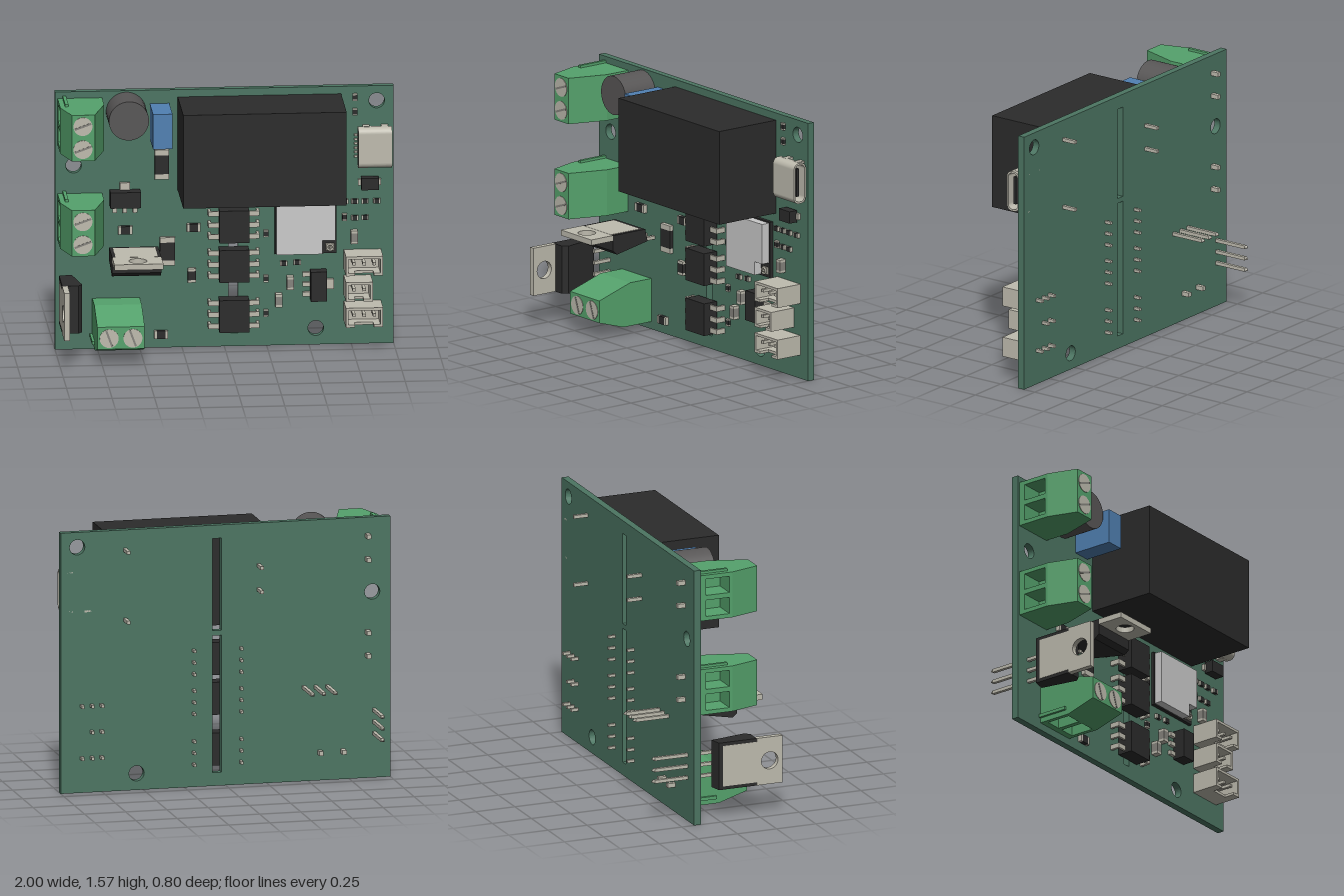
import * as THREE from 'three';

const mat = (name, color, extra = {}) => {
  const m = new THREE.MeshStandardMaterial({ color, ...extra });
  m.name = name;
  return m;
};

export function createModel() {
  const boardGreen = mat('board green', 0x4c7562);
  const green = mat('terminal green', 0x55a26c);
  const black = mat('plastic black', 0x2b2b2b);
  const metal = mat('tin metal', 0xbebbae);
  const shieldGrey = mat('shield silver', 0xcacaca);
  const blue = mat('capacitor blue', 0x5080b2);
  const darkGrey = mat('varistor grey', 0x585656);
  const midGrey = mat('ceramic grey', 0x85837d);
  const root = new THREE.Group();
  root.name = 'circuitBoard';
  const FRONT = -0.129, BACK = -0.172;

  const add = (parent, name, geo, m) => {
    const mesh = new THREE.Mesh(geo, m);
    mesh.name = name;
    parent.add(mesh);
    return mesh;
  };
  const group = (name, x = 0, y = 0, z = 0, turn = 0) => {
    const g = new THREE.Group();
    g.name = name;
    g.position.set(x, y, z);
    g.rotation.z = turn;
    root.add(g);
    return g;
  };
  // Box from its minimum and maximum on each axis
  const box = (parent, name, m, x0, x1, y0, y1, z0, z1) => {
    const b = add(parent, name, new THREE.BoxGeometry(x1 - x0, y1 - y0, z1 - z0), m);
    b.position.set((x0 + x1) / 2, (y0 + y1) / 2, (z0 + z1) / 2);
    return b;
  };
  const disc = (parent, name, m, x, y, r, z0, z1, sides = 32) => {
    const c = add(parent, name, new THREE.CylinderGeometry(r, r, z1 - z0, sides).rotateX(Math.PI / 2), m);
    c.position.set(x, y, (z0 + z1) / 2);
    return c;
  };
  const poly = pts => new THREE.Shape(pts.map(p => new THREE.Vector2(...p)));
  const rect = (x0, x1, y0, y1) => poly([[x0, y0], [x1, y0], [x1, y1], [x0, y1]]);
  const circle = (x, y, r) => new THREE.Path().absarc(x, y, r, 0, Math.PI * 2, true);
  const extrude = (shape, depth) =>
    new THREE.ExtrudeGeometry(shape, { depth, bevelEnabled: false, curveSegments: 16 });
  const pin = (parent, x, y, z0, z1, s = 0.02) =>
    box(parent, 'pin', metal, x - s / 2, x + s / 2, y - s / 2, y + s / 2, z0, z1);

  // Board with mounting holes and isolation slots
  const plate = rect(-1, 1, 0, 1.57);
  for (const [x, y] of [[0.9, 1.48], [-0.89, 1.12], [0.54, 0.1]]) plate.holes.push(circle(x, y, 0.046));
  plate.holes.push(rect(0.025, 0.08, 0.08, 0.905), rect(0.025, 0.08, 0.935, 1.49));
  add(root, 'board', extrude(plate, FRONT - BACK), boardGreen).position.z = BACK;

  // Relay and its solder pins
  const relay = group('relay');
  box(relay, 'relayCase', black, -0.275, 0.69, 0.957, 1.525, FRONT, 0.293);
  for (const [x, y] of [[0.61, 1.45], [0.61, 1.03], [-0.2, 1.315], [-0.2, 1.17]]) pin(relay, x, y, -0.262, FRONT);

  // Varistor and film capacitor
  disc(root, 'varistor', darkGrey, -0.58, 1.443, 0.118, FRONT, 0.092, 48);
  box(root, 'filmCapacitor', blue, -0.44, -0.325, 1.275, 1.488, FRONT, 0.12);

  // Screw terminal: local x runs away from the wire side, local y along the block
  function terminal(x, y, turn) {
    const g = group('screwTerminal', x, y, 0, turn);
    const top = [[0.055, 0.26], [0.19, 0.26], [0.263, 0.03], [0.263, FRONT]].reverse();
    const solid = [[0, FRONT], ...top, [0, 0.08]];
    const notched = [[0, FRONT], ...top, [0, 0.08], [0, 0.06], [0.14, 0.06], [0.14, -0.09], [0, -0.09]];
    let at = 0;
    [0.025, 0.1, 0.03, 0.1, 0.025].forEach((w, i) => {
      const geo = extrude(poly(i % 2 ? notched : solid), w).rotateX(Math.PI / 2);
      at += w;
      add(g, 'terminalBody', geo, green).position.y = at;
    });
    box(g, 'keyRidge', green, 0.03, 0.05, 0.28, 0.295, FRONT, 0.06);
    for (const sy of [0.07, 0.21]) {
      disc(g, 'screw', metal, 0.12, sy, 0.056, 0.25, 0.263);
      const slot = box(g, 'screwSlot', midGrey, 0.068, 0.172, sy - 0.006, sy + 0.006, 0.262, 0.265);
      slot.rotation.z = 0.35;
      pin(g, 0.125, sy, -0.222, FRONT, 0.026);
    }
  }
  terminal(-0.985, 1.25, 0);
  terminal(-0.985, 0.67, 0);
  terminal(-0.5, 0.045, Math.PI / 2);

  // Power transistor: local x across, y through the thickness, tab on +y
  function powerTransistor(x, y, turn) {
    const g = group('powerTransistor', x, y, 0, turn);
    const side = poly([[0.235, 0.06], [-0.005, 0.06], [-0.022, -0.015], [0.205, -0.06], [0.235, -0.035]].reverse());
    side.closePath();
    add(g, 'transistorBody', extrude(side, 0.29).rotateY(-Math.PI / 2), black).position.x = 0.145;
    const tab = rect(-0.145, 0.145, 0.235, 0.398);
    tab.holes.push(circle(0, 0.318, 0.053));
    add(g, 'coolingTab', extrude(tab, 0.034).rotateX(Math.PI / 2), metal).position.y = 0.061;
    box(g, 'backPlate', metal, -0.125, 0.125, 0.058, 0.062, 0.02, 0.235);
    for (const px of [-0.07, 0, 0.07]) {
      pin(g, px, -0.025, -0.385, -0.01);
      const tip = add(g, 'pinTip', new THREE.CylinderGeometry(0.014, 0.004, 0.015, 4).rotateY(Math.PI / 4).rotateX(Math.PI / 2), metal);
      tip.position.set(px, -0.025, -0.3925);
    }
  }
  powerTransistor(-0.545, 0.59, 0);
  powerTransistor(-0.925, 0.338, Math.PI / 2);

  // Optocouplers straddling the slot
  for (const cy of [0.753, 0.513, 0.208]) {
    const g = group('optocoupler', 0.052, cy);
    box(g, 'optoBody', black, -0.088, 0.088, -0.098, 0.098, -0.118, -0.022);
    for (const s of [-1, 1]) for (const dy of [-0.07, 0, 0.07]) {
      const x0 = s * 0.08, x1 = s * 0.15;
      box(g, 'leadShoulder', metal, Math.min(x0, x1), Math.max(x0, x1), dy - 0.015, dy + 0.015, -0.08, -0.066);
      box(g, 'leadLeg', metal, s * 0.143 - 0.008, s * 0.143 + 0.008, dy - 0.015, dy + 0.015, FRONT, -0.07);
      pin(g, s * 0.143, dy, -0.215, FRONT, 0.016);
    }
  }

  // Small regulators: local tab on +y, three leads on -y
  function regulator(x, y, turn) {
    const g = group('regulator', x, y, 0, turn);
    box(g, 'regulatorBody', black, -0.09, 0.09, -0.048, 0.048, -0.122, -0.045);
    box(g, 'regulatorTab', metal, -0.03, 0.03, 0.045, 0.092, FRONT, -0.108);
    for (const px of [-0.06, 0, 0.06])
      box(g, 'regulatorLead', metal, px - 0.013, px + 0.013, -0.092, -0.045, FRONT, -0.108);
  }
  regulator(-0.588, 0.922, 0);
  regulator(0.553, 0.372, -Math.PI / 2);

  // Two-ended surface parts: body with metal end caps on the longer axis
  function chip(x, y, w, h, d, m) {
    const g = group('surfacePart', x, y, FRONT);
    const wide = w > h, cap = Math.max(w, h) * 0.18;
    const bx = w / 2 - (wide ? cap : 0), by = h / 2 - (wide ? 0 : cap);
    box(g, 'partBody', m, -bx, bx, -by, by, 0, d);
    for (const s of [-1, 1]) {
      const e = box(g, 'partEnd', metal, 0, wide ? cap : w, 0, wide ? h : cap, 0, d);
      e.position.x = wide ? s * (w - cap) / 2 : 0;
      e.position.y = wide ? 0 : s * (h - cap) / 2;
    }
  }
  const big = [[-0.37, 1.12, 0.085, 0.18], [-0.337, 0.59, 0.09, 0.17], [-0.585, 0.723, 0.085, 0.048],
    [-0.182, 0.73, 0.08, 0.048], [-0.193, 0.44, 0.048, 0.085], [-0.375, 0.083, 0.08, 0.048]];
  for (const [x, y, w, h] of big) chip(x, y, w, h, 0.025, black);
  const upright = [[0.77, 1.505], [0.77, 1.415], [0.245, 0.685], [0.245, 0.41], [0.245, 0.2], [0.71, 0.775]];
  for (const [x, y] of upright) chip(x, y, 0.028, 0.042, 0.018, black);
  const flat = [[0.71, 0.87], [0.77, 0.87], [0.83, 0.87], [0.9, 0.87], [0.77, 0.77], [0.83, 0.77], [0.43, 0.505], [0.35, 0.5]];
  for (const [x, y] of flat) chip(x, y, 0.042, 0.028, 0.018, black);
  for (const [x, y] of [[0.765, 0.657], [0.387, 0.385], [0.32, 0.28]]) chip(x, y, 0.04, 0.08, 0.042, midGrey);

  // Diode
  const diode = group('diode', 0.857, 0.987);
  box(diode, 'diodeBody', black, -0.052, 0.052, -0.036, 0.036, -0.118, -0.062);
  box(diode, 'diodeLeads', metal, -0.068, 0.068, -0.018, 0.018, FRONT, -0.11);

  // Wireless module with notched shield and antenna socket
  const radio = group('radioModule');
  box(radio, 'moduleBoard', black, 0.297, 0.662, 0.56, 0.9, FRONT, -0.108);
  const can = poly([[0.303, 0.568], [0.575, 0.568], [0.575, 0.65], [0.65, 0.65], [0.65, 0.892], [0.303, 0.892]]);
  add(radio, 'shieldCan', extrude(can, 0.05), shieldGrey).position.z = -0.108;
  box(radio, 'socketBase', metal, 0.597, 0.647, 0.578, 0.622, -0.108, -0.098);
  const socket = add(radio, 'socketRing', new THREE.TorusGeometry(0.018, 0.006, 8, 20), metal);
  socket.position.set(0.622, 0.6, -0.092);
  disc(radio, 'socketPin', metal, 0.622, 0.6, 0.006, -0.1, -0.08, 12);

  // USB-style socket: rounded shell opening toward +x
  const roundRect = (w, h, r, path) => {
    path.absarc(w - r, h - r, r, 0, Math.PI / 2);
    path.absarc(r - w, h - r, r, Math.PI / 2, Math.PI);
    path.absarc(r - w, r - h, r, Math.PI, Math.PI * 1.5);
    path.absarc(w - r, r - h, r, Math.PI * 1.5, Math.PI * 2);
    path.closePath();
    return path;
  };
  const usb = group('dataSocket', 0.785, 1.21, -0.079);
  const shell = roundRect(0.044, 0.123, 0.036, new THREE.Shape());
  shell.holes.push(roundRect(0.034, 0.112, 0.028, new THREE.Path()));
  add(usb, 'socketShell', extrude(shell, 0.2).rotateY(Math.PI / 2), metal);
  add(usb, 'socketBack', extrude(roundRect(0.036, 0.114, 0.03, new THREE.Shape()), 0.03).rotateY(Math.PI / 2), black);
  box(usb, 'socketTongue', black, 0.02, 0.18, -0.085, 0.085, -0.009, 0.009);
  for (const s of [-1, 1]) for (const x of [0.03, 0.14])
    box(usb, 'mountingLeg', metal, x, x + 0.04, s * 0.118 - 0.006, s * 0.118 + 0.006, -0.093, 0);
  for (let i = 0; i < 6; i++)
    box(usb, 'socketContact', metal, -0.018, 0.01, -0.073 + i * 0.026, -0.06 + i * 0.026, -0.05, -0.04);

  // Open pin headers
  function header(x1, y0, y1, count) {
    const g = group('pinHeader');
    const x0 = 0.705, t = 0.016, top = 0.042, cx = (x0 + x1) / 2;
    box(g, 'headerFloor', metal, x0, x1, y0, y1, FRONT, -0.09);
    box(g, 'headerUpperWall', metal, x0, x1, y1 - t, y1, -0.09, top);
    box(g, 'headerLeftWall', metal, x1 - t, x1, y0, y1 - t, -0.09, top);
    box(g, 'headerRightWall', metal, x0, x0 + t, y0, y1 - t, -0.09, top);
    box(g, 'headerLowerWall', metal, x0 + t, x1 - t, y0, y0 + t, -0.09, -0.02);
    for (const s of [-1, 1]) {
      const c = cx + s * ((x1 - x0) / 2 - 0.035);
      box(g, 'headerCorner', metal, c - 0.02, c + 0.02, y0, y0 + t, -0.02, top);
    }
    for (let i = 0; i < count; i++) pin(g, cx + (i - (count - 1) / 2) * 0.06, (y0 + y1) / 2 + 0.008, -0.218, 0.02, 0.018);
  }
  header(0.925, 0.457, 0.575, 3);
  header(0.865, 0.3, 0.418, 2);
  header(0.925, 0.143, 0.262, 3);

  return root;
}
